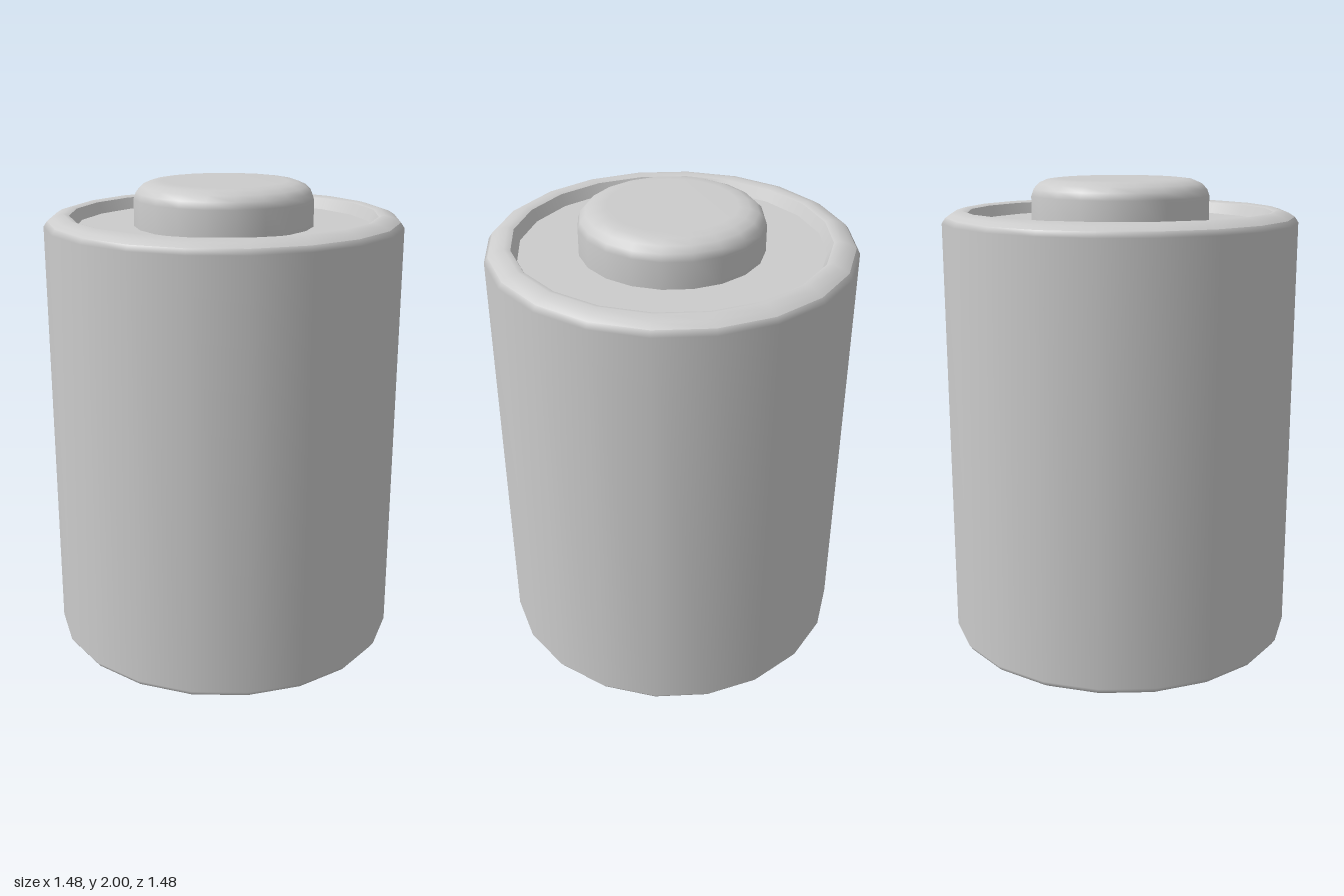
import * as THREE from 'three';

const SIDES = 20;
const material = new THREE.MeshStandardMaterial({ color: 0xcccccc });

// Revolved part; each profile section is smooth, with a crease between sections
function revolved(name, sections) {
  const group = new THREE.Group();
  group.name = name;
  sections.forEach((section, i) => {
    const points = section.map(([r, y]) => new THREE.Vector2(r, y));
    const mesh = new THREE.Mesh(new THREE.LatheGeometry(points, SIDES), material);
    mesh.name = `${name}Section${i + 1}`;
    group.add(mesh);
  });
  return group;
}

export function createModel() {
  const model = new THREE.Group();
  model.name = 'battery';

  // Casing: flat base, bevelled edges, straight wall and raised top rim
  model.add(revolved('casing', [
    [[0, 0], [0.66, 0]],
    [[0.66, 0], [0.7, 0.012], [0.725, 0.028]],
    [[0.725, 0.028], [0.74, 0.05], [0.74, 1.825], [0.725, 1.847]],
    [[0.725, 1.847], [0.7, 1.863], [0.66, 1.875], [0.635, 1.867]],
    [[0.635, 1.867], [0.613, 1.82]],
  ]));

  // Recessed end plate
  model.add(revolved('endPlate', [[[0.613, 1.82], [0.37, 1.82]]]));

  // Terminal button with rounded top edge
  model.add(revolved('terminal', [
    [[0.372, 1.82], [0.372, 1.93], [0.362, 1.958], [0.34, 1.98], [0.305, 1.995], [0.26, 2], [0, 2]],
  ]));

  return model;
}
